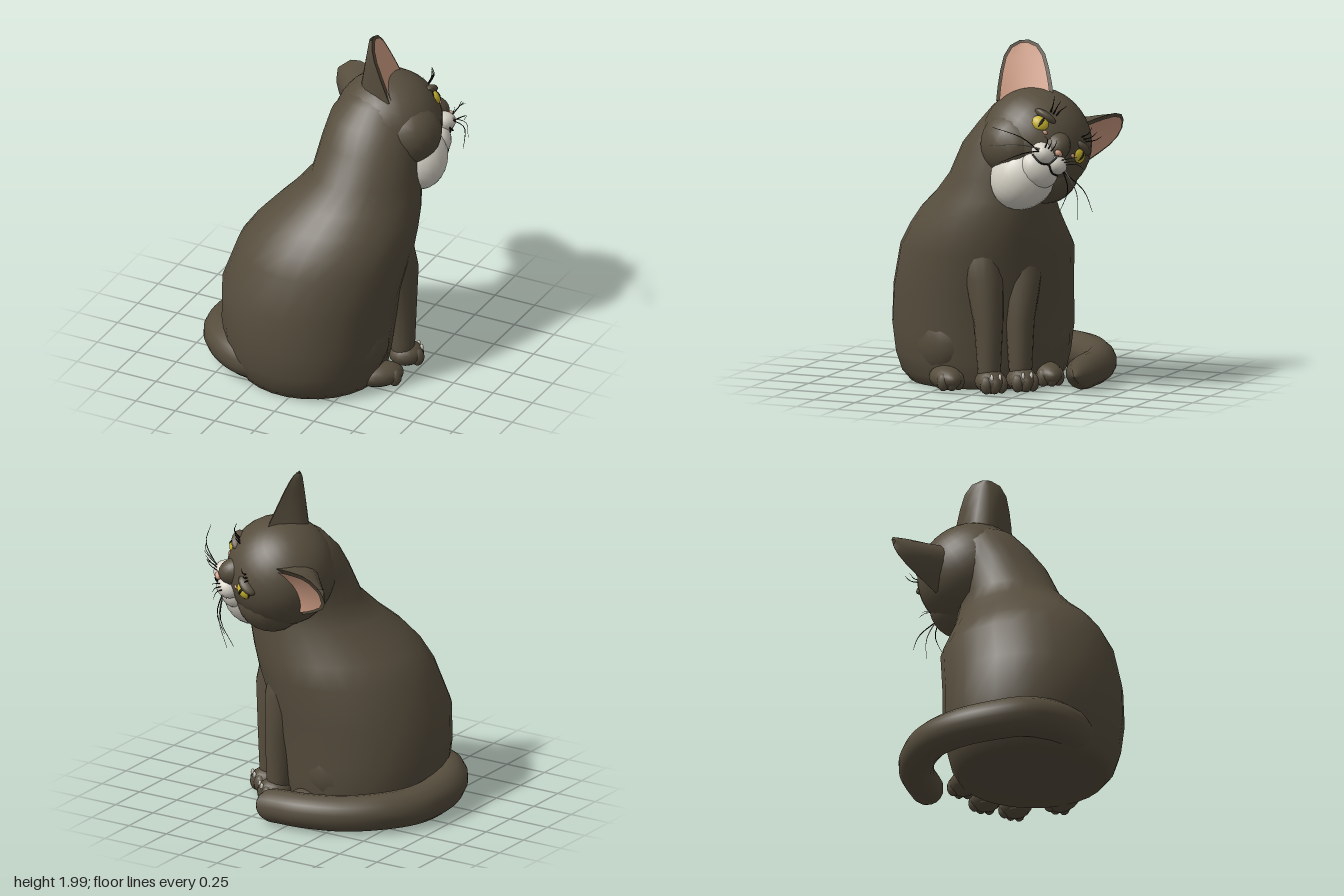
import * as THREE from 'three';

const mat = (name, color) => {
  const m = new THREE.MeshStandardMaterial({ color });
  m.name = name;
  return m;
};

export function createModel() {
  const fur = mat('dark fur', 0x564d3d);
  fur.side = THREE.DoubleSide;
  const white = mat('white fur', 0xd6d2c6);
  const pink = mat('pink skin', 0xd3a086);
  pink.side = THREE.DoubleSide;
  const yellow = mat('yellow iris', 0xc9b42e);
  const black = mat('black', 0x1a1713);

  const model = new THREE.Group();
  const cat = new THREE.Group();
  cat.name = 'cat';
  cat.rotation.y = Math.PI * 0.75; // the animal sits turned away from the front
  model.add(cat);

  const add = (parent, name, geometry, material) => {
    const m = new THREE.Mesh(geometry, material);
    m.name = name;
    parent.add(m);
    return m;
  };
  const ball = (parent, name, material, p, r, w = 20, h = 14) => {
    const m = add(parent, name, new THREE.SphereGeometry(1, w, h), material);
    m.position.set(...p);
    m.scale.set(...r);
    return m;
  };
  const V = (p) => new THREE.Vector3(...p);

  // Closed skin over horizontal ellipses: [y, centre x, centre z, radius x, radius z]
  const loft = (rings, n = 28) => {
    const pos = [], idx = [], last = (rings.length - 1) * n;
    for (const [y, cx, cz, rx, rz] of rings) {
      for (let i = 0; i < n; i++) {
        const a = (i / n) * Math.PI * 2;
        pos.push(cx + rx * Math.cos(a), y, cz + rz * Math.sin(a));
      }
    }
    const c = pos.length / 3, top = rings[rings.length - 1];
    pos.push(rings[0][1], rings[0][0], rings[0][2], top[1], top[0], top[2]);
    for (let i = 0; i < n; i++) {
      const j = (i + 1) % n;
      for (let k = 0; k < last; k += n) {
        idx.push(k + i, k + n + i, k + j, k + j, k + n + i, k + n + j);
      }
      idx.push(c, i, j, c + 1, last + j, last + i);
    }
    const g = new THREE.BufferGeometry();
    g.setAttribute('position', new THREE.Float32BufferAttribute(pos, 3));
    g.setIndex(idx);
    g.computeVertexNormals();
    return g;
  };

  // Tube whose radius follows a rule along its length
  const taper = (points, radius, seg, sides) => {
    const curve = new THREE.CatmullRomCurve3(points.map(V));
    const g = new THREE.TubeGeometry(curve, seg, 1, sides);
    const p = g.attributes.position, v = new THREE.Vector3();
    for (let i = 0; i < p.count; i++) {
      const u = Math.floor(i / (sides + 1)) / seg;
      const c = curve.getPointAt(u);
      v.fromBufferAttribute(p, i).sub(c).multiplyScalar(radius(u)).add(c);
      p.setXYZ(i, v.x, v.y, v.z);
    }
    return g;
  };
  const hair = (parent, name, points, r, material) =>
    add(parent, name, taper(points, (u) => r * (1 - 0.75 * u), 8, 4), material);

  // Torso and neck
  add(cat, 'body', loft([
    [0, -0.07, -0.16, 0.42, 0.41],
    [0.06, -0.07, -0.17, 0.47, 0.44],
    [0.16, -0.07, -0.18, 0.5, 0.47],
    [0.32, -0.07, -0.18, 0.52, 0.49],
    [0.54, -0.075, -0.16, 0.51, 0.51],
    [0.78, -0.085, -0.08, 0.49, 0.5],
    [0.9, -0.1, -0.03, 0.435, 0.475],
    [1.0, -0.11, 0.025, 0.385, 0.435],
    [1.1, -0.105, 0.09, 0.33, 0.375],
    [1.22, -0.1, 0.15, 0.28, 0.31],
    [1.4, -0.05, 0.2, 0.275, 0.28],
    [1.52, 0, 0.24, 0.245, 0.255],
    [1.62, 0.01, 0.27, 0.185, 0.19],
    [1.69, 0.01, 0.3, 0.09, 0.1],
  ]), fur);

  const paw = (name, x, z, len) => {
    ball(cat, name, fur, [x, 0.068, z], [0.088, 0.07, len], 16, 10);
    for (const k of [-1, 0, 1]) {
      ball(cat, name + 'Toe', fur, [x + k * 0.046, 0.056, z + len * (0.64 - 0.12 * k * k)], [0.036, 0.053, 0.04], 10, 8);
    }
  };
  // Front legs
  for (const [name, x, tx] of [['rightFront', -0.235, -0.25], ['leftFront', -0.045, -0.02]]) {
    add(cat, name + 'Leg', loft([
      [0.02, x, 0.325, 0.06, 0.06],
      [0.15, x, 0.325, 0.067, 0.07],
      [0.4, x, 0.315, 0.082, 0.09],
      [0.65, tx, 0.28, 0.11, 0.13],
      [0.85, tx, 0.21, 0.13, 0.16],
      [1.08, tx * 0.6 - 0.05, 0.18, 0.08, 0.12],
    ], 16), fur);
    paw(name + 'Paw', x, 0.345, 0.1);
    for (const k of [-0.5, 0.5]) {
      ball(cat, name + 'Claw', white, [x + k * 0.05, 0.1, 0.428], [0.011, 0.022, 0.012], 6, 6);
    }
  }
  // Thighs and hind feet
  ball(cat, 'rightThigh', fur, [-0.35, 0.27, -0.07], [0.2, 0.26, 0.27]);
  ball(cat, 'leftThigh', fur, [0.18, 0.27, -0.05], [0.2, 0.26, 0.27]);
  paw('rightHindPaw', -0.42, 0.13, 0.14);
  paw('leftHindPaw', 0.16, 0.19, 0.15);

  // Tail curled around the left side
  add(model, 'tail', taper([
    [-0.18, 0.13, 0.46], [-0.32, 0.135, 0.47], [-0.46, 0.145, 0.405], [-0.565, 0.14, 0.28], [-0.61, 0.12, 0.11],
    [-0.59, 0.11, -0.1], [-0.485, 0.11, -0.29], [-0.31, 0.105, -0.43],
    [-0.1, 0.105, -0.505], [0.07, 0.1, -0.51], [0.2, 0.085, -0.5],
  ], (u) => {
    const end = Math.min(1, (1 - u) / 0.06);
    return (0.12 - 0.025 * u) * Math.sqrt(Math.max(0.0004, 1 - (1 - end) ** 2));
  }, 90, 14), fur);

  // Head, tilted towards the left shoulder
  const head = new THREE.Group();
  head.name = 'head';
  head.position.set(0.05, 1.42, 0.33);
  head.rotation.z = -0.71;
  cat.add(head);
  ball(head, 'skull', fur, [0, 0, 0], [0.32, 0.305, 0.31], 28, 20);
  ball(head, 'noseBridge', fur, [0, 0.015, 0.24], [0.085, 0.095, 0.125]);
  ball(head, 'throatPatch', white, [0.01, -0.2, 0.13], [0.185, 0.215, 0.175]);
  ball(head, 'chin', white, [0.01, -0.145, 0.255], [0.12, 0.1, 0.085]);
  const nose = ball(head, 'nose', pink, [0, -0.016, 0.364], [0.026, 0.018, 0.018], 10, 8);
  nose.rotation.x = -0.3;
  add(head, 'mouthCleft', taper([[0, -0.026, 0.378], [0, -0.06, 0.37], [0, -0.098, 0.352]],
    () => 0.005, 6, 5), black);

  // Ear surface: rows from base to tip, bowed backwards by depth; trim narrows it inside the rim
  const earRows = [0, 0.25, 0.5, 0.75, 0.92, 1], earWidths = [0.165, 0.155, 0.14, 0.118, 0.08, 0.025];
  const earSkin = (side, depth, trim, lift) => {
    const base = V([0.19, 0.14, -0.02]), tip = V([0.365, 0.41, -0.14]);
    const axis = tip.clone().sub(base), up = axis.clone().normalize();
    const out = V([0.42, -0.28, 0.85]);
    out.addScaledVector(up, -out.dot(up)).normalize();
    const across = new THREE.Vector3().crossVectors(up, out);
    const pos = [], idx = [], cols = 8;
    earRows.forEach((t, r) => {
      for (let c = 0; c <= cols; c++) {
        const s = (c / cols) * 2 - 1;
        const p = base.clone().addScaledVector(axis, t * (trim < 1 ? 0.95 : 1))
          .addScaledVector(across, s * earWidths[r] * trim)
          .addScaledVector(out, lift - depth * (1 - s * s) * (1 - t * 0.9));
        pos.push(side * p.x, p.y, p.z);
        if (r && c) {
          const i = r * (cols + 1) + c, d = i - cols - 1;
          idx.push(...(side > 0 ? [d - 1, d, i, d - 1, i, i - 1] : [d - 1, i, d, d - 1, i - 1, i]));
        }
      }
    });
    const g = new THREE.BufferGeometry();
    g.setAttribute('position', new THREE.Float32BufferAttribute(pos, 3));
    g.setIndex(idx);
    g.computeVertexNormals();
    return g;
  };

  for (const s of [-1, 1]) {
    const side = s > 0 ? 'left' : 'right';
    ball(head, side + 'Cheek', fur, [s * 0.12, -0.1, 0.06], [0.195, 0.19, 0.2]);
    ball(head, side + 'Muzzle', white, [s * 0.05, -0.064, 0.3], [0.07, 0.058, 0.074], 16, 12);
    add(head, side + 'MouthLine', taper([[0, -0.098, 0.352], [s * 0.045, -0.122, 0.347], [s * 0.1, -0.11, 0.312]],
      () => 0.005, 8, 5), black);
    add(head, side + 'EarBack', earSkin(s, 0.23, 1, 0.05), fur);
    add(head, side + 'EarRim', earSkin(s, 0.03, 1, 0.05), fur);
    add(head, side + 'EarInside', earSkin(s, 0.025, 0.88, 0.057), pink);

    // Eye: dark rim, iris, slit pupil, upper lid and pink inner corner
    const eye = new THREE.Group();
    eye.name = side + 'Eye';
    eye.position.set(s * 0.145, 0.06, 0.237);
    eye.rotation.set(-0.12, s * 0.42, 0);
    head.add(eye);
    ball(eye, side + 'EyeRim', black, [0, 0, 0], [0.064, 0.056, 0.036], 18, 12);
    ball(eye, side + 'Iris', yellow, [0, -0.002, 0.007], [0.055, 0.046, 0.039], 18, 12);
    ball(eye, side + 'Pupil', black, [0, 0, 0.014], [0.016, 0.041, 0.036], 12, 10);
    ball(eye, side + 'EyeLid', fur, [0, 0.052, 0.006], [0.07, 0.026, 0.044], 14, 10);
    ball(eye, side + 'EyeCorner', pink, [-s * 0.05, -0.03, 0.02], [0.017, 0.012, 0.018], 8, 6);

    // Whiskers and brow hairs
    [[0.35, -0.23, 0.34], [0.24, -0.27, 0.33], [0.4, -0.14, 0.32]].forEach(([x, y, z], i) => {
      const start = [s * 0.08, -0.055 - i * 0.01, 0.34];
      const mid = [s * (0.05 + x * 0.5), y * 0.4 - 0.03, 0.38];
      hair(head, side + 'Whisker', [start, mid, [s * x, y, z]], 0.004, i ? black : white);
    });
    for (let i = 0; i < 3; i++) {
      hair(head, side + 'BrowHair', [[s * (0.1 + i * 0.02), 0.15, 0.24], [s * (0.11 + i * 0.03), 0.19, 0.27],
        [s * (0.1 + i * 0.045), 0.23, 0.28 - i * 0.01]], 0.005, black);
      hair(head, side + 'NoseHair', [[s * (0.04 + i * 0.02), -0.04, 0.35], [s * (0.06 + i * 0.03), 0, 0.4],
        [s * (0.08 + i * 0.04), 0.03 - i * 0.015, 0.42]], 0.004, black);
    }
  }
  return model;
}
